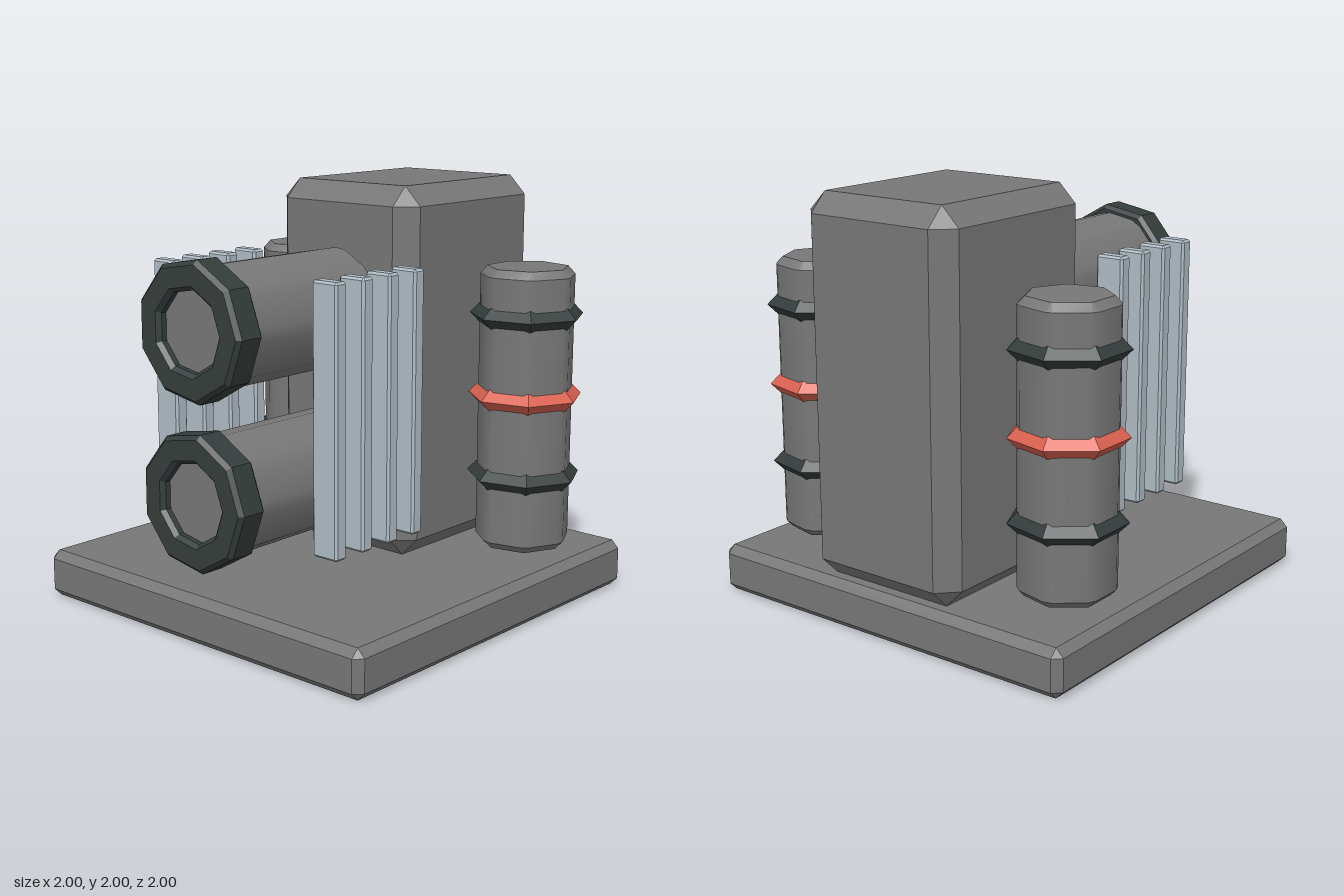
import * as THREE from 'three';
import { toCreasedNormals } from 'three/addons/utils/BufferGeometryUtils.js';
import { ConvexGeometry } from 'three/addons/geometries/ConvexGeometry.js';

const paint = (name, color) => {
  const m = new THREE.MeshStandardMaterial({ color });
  m.name = name;
  return m;
};

// Box with every edge chamfered by b, corners ending in small triangles
function chamferBox(w, h, d, b) {
  const pts = [];
  for (const sx of [-1, 1]) for (const sy of [-1, 1]) for (const sz of [-1, 1]) {
    const x = w / 2, y = h / 2, z = d / 2;
    pts.push(
      new THREE.Vector3(sx * x, sy * (y - b), sz * (z - b)),
      new THREE.Vector3(sx * (x - b), sy * y, sz * (z - b)),
      new THREE.Vector3(sx * (x - b), sy * (y - b), sz * z));
  }
  return new ConvexGeometry(pts);
}

// Upright n-sided prism, one corner towards +x, with narrow chamfers on all edges
function chamferPrism(n, r, h, b, cut) {
  const pts = [];
  const corner = (i, rad, y) => {
    const a = (i / n) * Math.PI * 2;
    return new THREE.Vector3(Math.cos(a) * rad, y, Math.sin(a) * rad);
  };
  const t = cut / (2 * r * Math.sin(Math.PI / n));
  for (const s of [-1, 1]) for (let i = 0; i < n; i++) {
    const y = s * (h / 2 - b);
    const p = corner(i, r, y);
    pts.push(p.clone().lerp(corner(i + 1, r, y), t), p.clone().lerp(corner(i - 1, r, y), t));
    pts.push(corner(i, r - b / Math.cos(Math.PI / n), s * h / 2));
  }
  return toCreasedNormals(new ConvexGeometry(pts), 0.55);
}

// Faceted collar around the z axis, from z0 to z1
function collar(sides, outer, inner, z0, z1, b) {
  const profile = [
    [inner, z0], [outer - b, z0], [outer, z0 + b], [outer, z1 - b],
    [outer - b, z1], [inner + b, z1], [inner, z1 - b], [inner, z0],
  ].map(([x, y]) => new THREE.Vector2(x, y));
  const g = new THREE.LatheGeometry(profile, sides).toNonIndexed();
  g.rotateY(Math.PI / 2).rotateX(Math.PI / 2);
  g.computeVertexNormals();
  return g;
}

export function createModel() {
  const model = new THREE.Group();
  model.name = 'machineBlock';
  const grey = paint('casing grey', 0x777777);
  const dark = paint('dark rubber', 0x343d3b);
  const red = paint('warning red', 0xd9604f);
  const pale = paint('pale steel', 0xb0bcc5);

  const add = (parent, name, geo, mat, x = 0, y = 0, z = 0) => {
    const m = new THREE.Mesh(geo, mat);
    m.name = name;
    m.position.set(x, y, z);
    parent.add(m);
    return m;
  };

  // Base plate and main tower
  add(model, 'basePlate', chamferBox(2, 0.23, 2, 0.038), grey, 0, 0.115, 0);
  add(model, 'tower', chamferBox(0.84, 1.77, 1, 0.09), grey, 0, 1.115, -0.5);

  // Two horizontal barrels with dark muzzle collars
  const barrelGeo = chamferPrism(9, 0.289, 0.94, 0.038, 0.03).rotateX(Math.PI / 2);
  const collarGeo = collar(9, 0.323, 0.187, 0.832, 0.987, 0.02);
  for (const y of [1.425, 0.656]) {
    const barrel = new THREE.Group();
    barrel.name = 'barrel';
    barrel.position.y = y;
    add(barrel, 'barrelBody', barrelGeo, grey, 0, 0, 0.47);
    add(barrel, 'barrelCollar', collarGeo, dark);
    model.add(barrel);
  }

  // Upright side tanks with pointed bands
  const tankGeo = chamferPrism(7, 0.234, 1.345, 0.036, 0.025);
  const bandGeo = new THREE.TorusGeometry(0.225, 0.05, 4, 7).rotateX(Math.PI / 2).toNonIndexed();
  bandGeo.computeVertexNormals();
  for (const side of [-1, 1]) {
    const tank = new THREE.Group();
    tank.name = side > 0 ? 'leftTank' : 'rightTank';
    tank.position.set(side * 0.712, 0, -0.539);
    add(tank, 'tankBody', tankGeo, grey, 0, 0.945, 0);
    add(tank, 'upperBand', bandGeo, dark, 0, 1.39, 0);
    add(tank, 'middleBand', bandGeo, red, 0, 1.002, 0);
    add(tank, 'lowerBand', bandGeo, dark, 0, 0.616, 0);
    model.add(tank);
  }

  // Rows of cooling fins either side of the barrels
  const finGeo = chamferBox(0.144, 1.232, 0.07, 0.011);
  for (const side of [-1, 1]) {
    for (let i = 0; i < 4; i++) add(model, 'coolingFin', finGeo, pale, side * 0.501, 1.044, 0.097 + i * 0.175);
  }
  return model;
}
